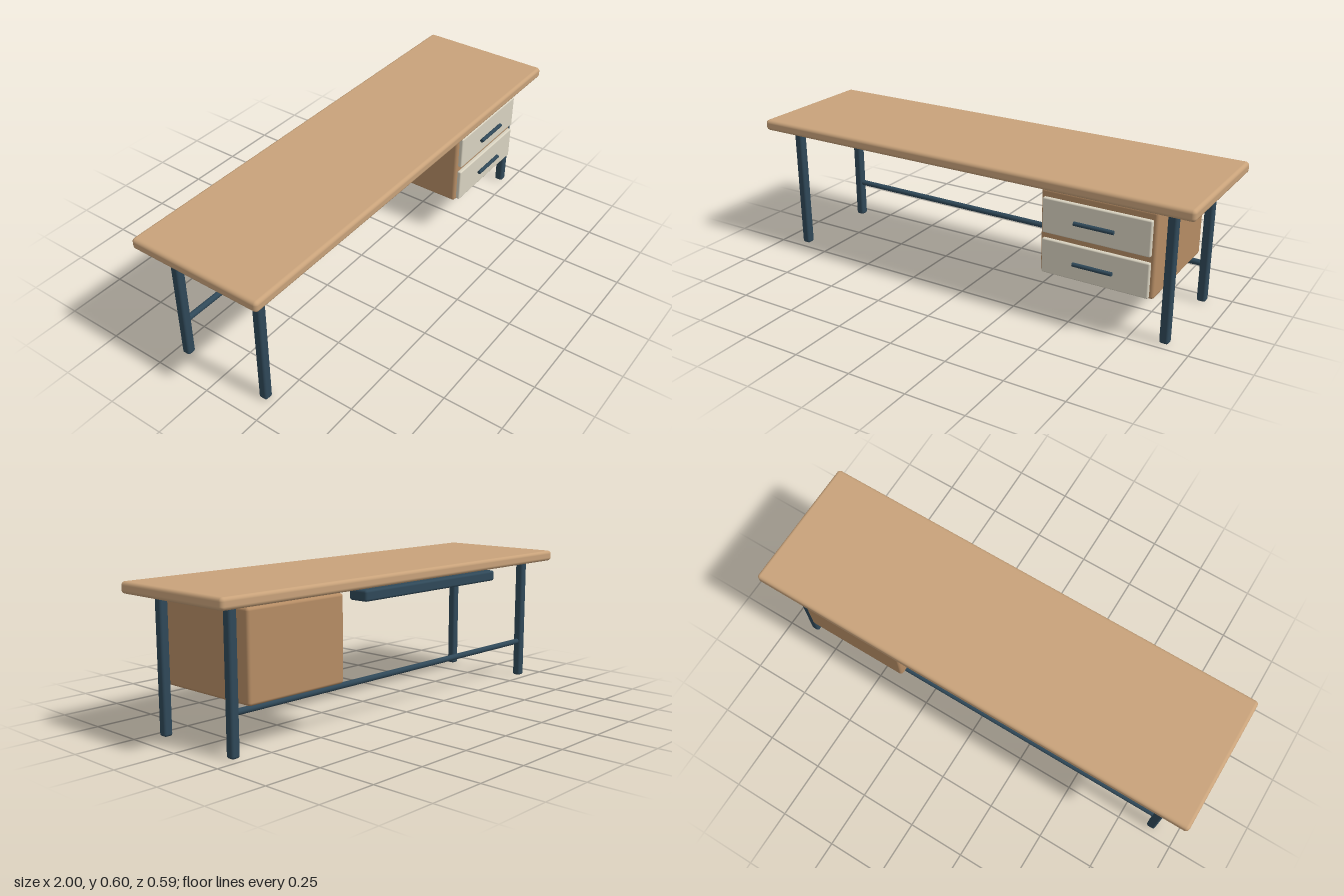
import * as THREE from 'three';
import { RoundedBoxGeometry } from 'three/addons/geometries/RoundedBoxGeometry.js';

const material = (color) => new THREE.MeshStandardMaterial({ color });

export function createModel() {
  const desk = new THREE.Group();
  desk.name = 'desk';
  const topWood = material(0xc8a27a);
  const cabinetWood = material(0xb58c64);
  const cream = material(0xd8d2c0);
  const metal = material(0x2f4858);

  const add = (name, geometry, mat, x, y, z) => {
    const mesh = new THREE.Mesh(geometry, mat);
    mesh.name = name;
    mesh.position.set(x, y, z);
    desk.add(mesh);
    return mesh;
  };
  // Softened box given by its size, edge radius and centre
  const box = (name, [w, h, d], radius, mat, x, y, z) =>
    add(name, new RoundedBoxGeometry(w, h, d, 3, radius), mat, x, y, z);
  // Round bar lying along x
  const bar = (name, length, radius, x, y, z) => {
    const geometry = new THREE.CylinderGeometry(radius, radius, length, 16).rotateZ(Math.PI / 2);
    return add(name, geometry, metal, x, y, z);
  };

  // Worktop
  box('tabletop', [2, 0.047, 0.594], 0.015, topWood, 0, 0.5765, 0);

  // Four legs
  for (const [side, x] of [['Left', 0.888], ['Right', -0.888]]) {
    for (const [end, z] of [['front', 0.2], ['back', -0.2]]) {
      box(`${end}${side}Leg`, [0.038, 0.548, 0.038], 0.01, metal, x, 0.274, z);
    }
  }

  // Rear stretcher and cable tray
  bar('backStretcher', 1.76, 0.0125, 0, 0.166, -0.2);
  box('cableTray', [0.853, 0.046, 0.092], 0.01, metal, -0.187, 0.513, -0.196);

  // Drawer cabinet with two drawers and their pulls
  box('cabinet', [0.48, 0.354, 0.487], 0.012, cabinetWood, 0.605, 0.364, 0);
  [['upper', 0.438], ['lower', 0.268]].forEach(([level, y]) => {
    box(`${level}DrawerFront`, [0.45, 0.146, 0.019], 0.006, cream, 0.605, y, 0.2525);
    bar(`${level}DrawerHandle`, 0.165, 0.0085, 0.605, y, 0.276);
  });

  return desk;
}
